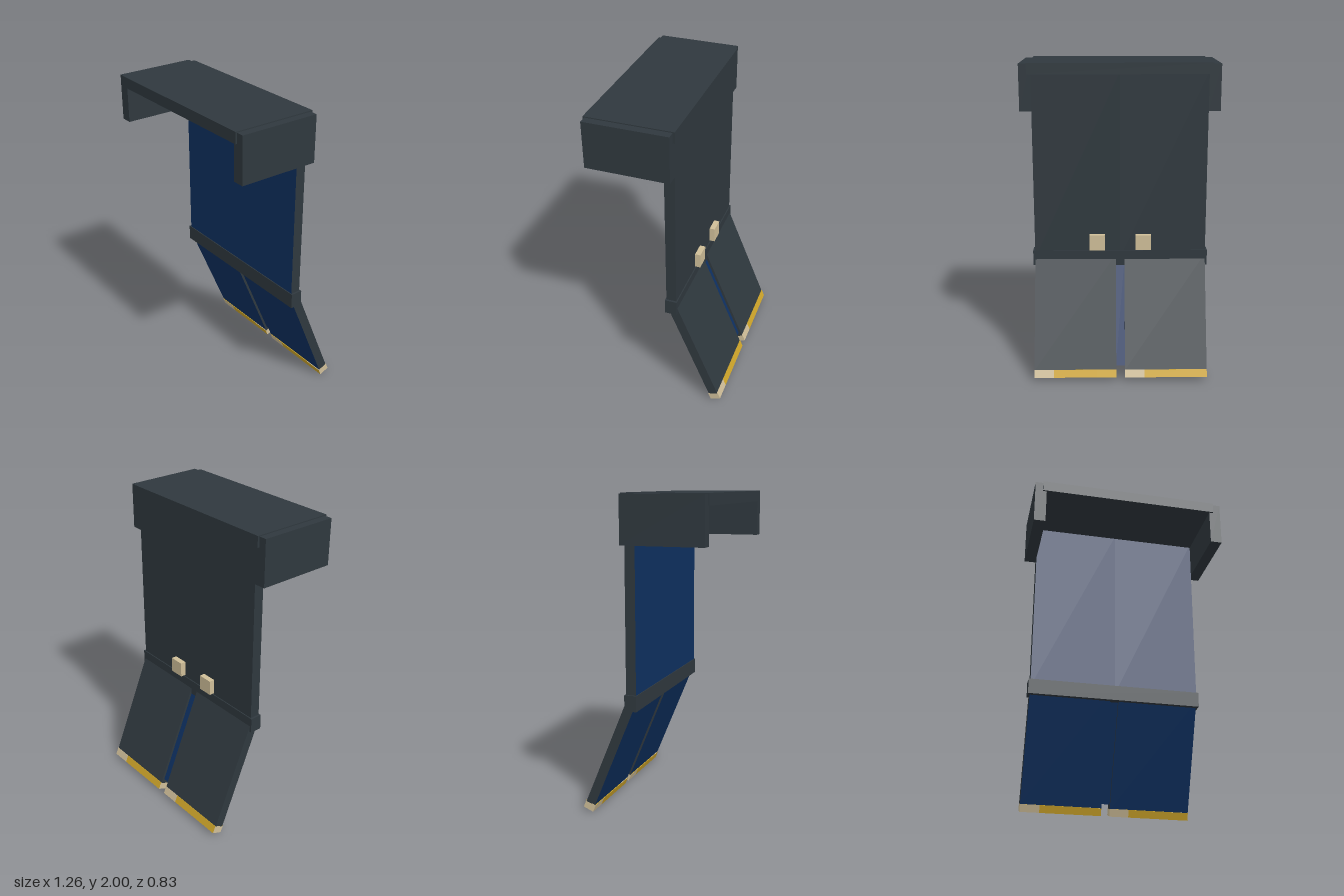
import * as THREE from 'three';

const mat = (name, color) => {
  const m = new THREE.MeshStandardMaterial({ color });
  m.name = name;
  return m;
};

export function createModel() {
  const dark = mat('charcoal cloth', 0x2f383e);
  const blue = mat('navy lining', 0x0e3060);
  const gold = mat('gold trim', 0xcfa62a);
  const cream = mat('cream trim', 0xcfbe98);

  const root = new THREE.Group();
  root.name = 'cape';

  // Box given by its min and max corners
  const box = (name, parent, material, [x0, y0, z0], [x1, y1, z1]) => {
    const mesh = new THREE.Mesh(new THREE.BoxGeometry(x1 - x0, y1 - y0, z1 - z0), material);
    mesh.position.set((x0 + x1) / 2, (y0 + y1) / 2, (z0 + z1) / 2);
    mesh.name = name;
    parent.add(mesh);
    return mesh;
  };

  // Face order: +x, -x, +y, -y, +z, -z
  const lined = [dark, dark, dark, dark, blue, dark];

  // Shoulder cover and waist band
  box('shoulderCover', root, dark, [-0.58, 1.93, -0.128], [0.58, 2, 0.413]);
  box('waistBand', root, dark, [-0.568, 0.69, -0.122], [0.568, 0.79, -0.044]);

  for (const s of [-1, 1]) {
    const span = (a, b) => (s > 0 ? [a, b] : [-b, -a]);
    const side = s > 0 ? 'left' : 'right';

    // Shoulder side plates
    const [p0, p1] = span(0.555, 0.63);
    box(side + 'ShoulderPlate', root, dark, [p0, 1.7, -0.115], [p1, 1.994, 0.403]);

    // Back panel halves with the lining on the inside
    const [b0, b1] = span(0, 0.555);
    box(side + 'BackPanel', root, lined, [b0, 0.74, -0.115], [b1, 1.95, -0.05]);

    // Back buttons
    const [k0, k1] = span(0.1, 0.2);
    box(side + 'Button', root, cream, [k0, 0.8, -0.151], [k1, 0.9, -0.11]);
  }

  // Lower skirt swings backwards, pivoting about the hem line
  const skirt = new THREE.Group();
  skirt.name = 'skirt';
  skirt.position.set(0, 0.0366, -0.376);
  skirt.rotation.x = Math.PI / 8;
  root.add(skirt);

  box('centreLining', skirt, blue, [-0.03, 0.05, -0.015], [0.03, 0.76, 0.015]);

  for (const [side, x0, x1] of [['right', -0.555, -0.028], ['left', 0.028, 0.555]]) {
    box(side + 'Flap', skirt, lined, [x0, 0.02, -0.031], [x1, 0.77, 0.031]);

    // Hem in three lengths: cream wraps the ends in turn round the border
    const a = x0 + 0.126, b = x1 - 0.126;
    const hem = (name, m, from, to) =>
      box(side + name, skirt, m, [from, -0.025, -0.035], [to, 0.025, 0.035]);
    hem('HemStart', [gold, cream, gold, gold, cream, gold], x0, a);
    hem('HemMiddle', gold, a, b);
    hem('HemEnd', [cream, gold, cream, cream, gold, cream], b, x1);
  }

  return root;
}
